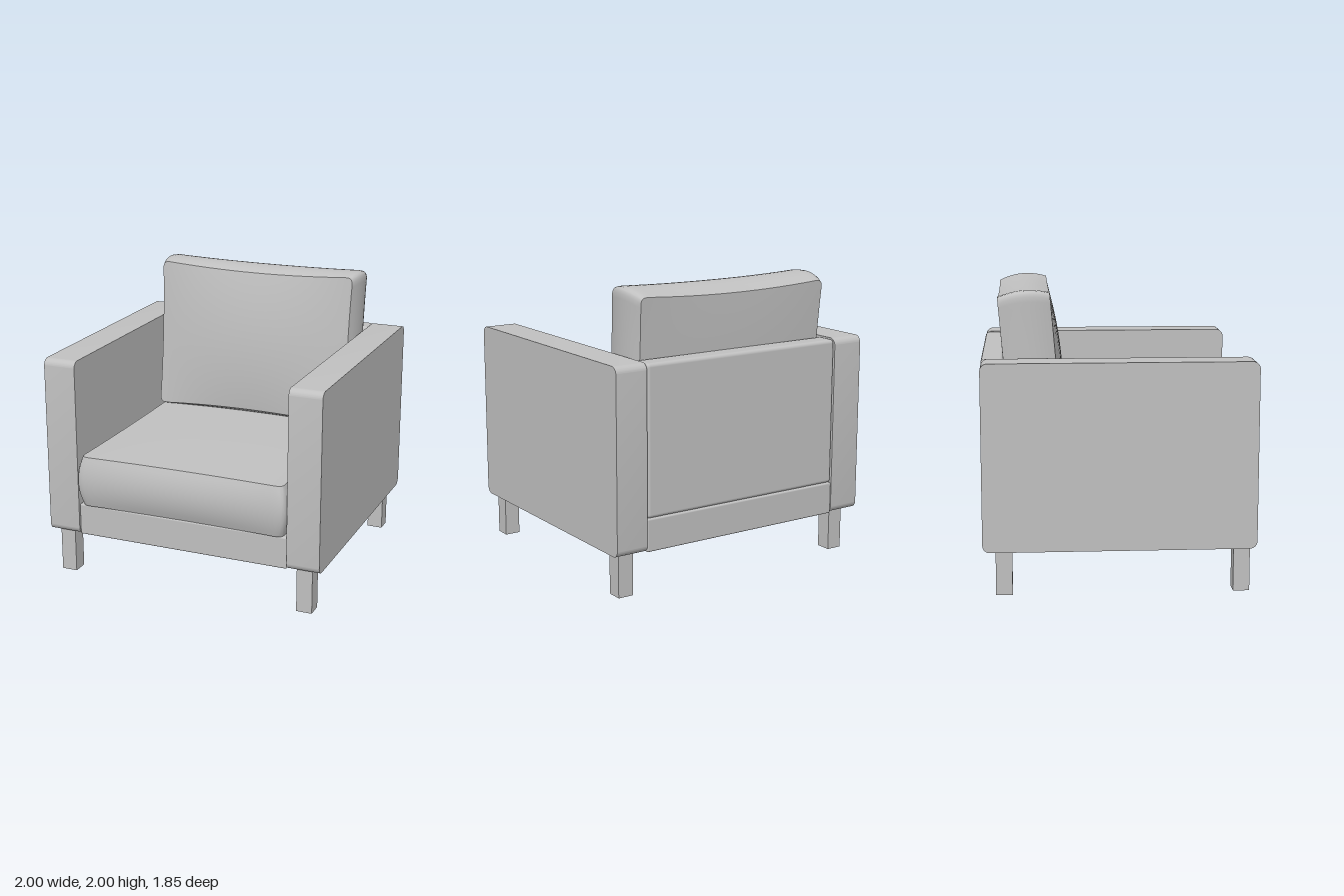
import * as THREE from 'three';
import { toCreasedNormals } from 'three/addons/utils/BufferGeometryUtils.js';
import { RoundedBoxGeometry } from 'three/addons/geometries/RoundedBoxGeometry.js';

const fabric = new THREE.MeshStandardMaterial({ color: 0xc0c0c0 });
fabric.name = 'light grey';

function part(name, geometry, x, y, z) {
  const mesh = new THREE.Mesh(geometry, fabric);
  mesh.name = name;
  mesh.position.set(x, y, z);
  return mesh;
}

// Stuffed cushion lying in XY with its thickness along Z: rounded corners,
// bulging side walls, pinched seams and crowned faces.
function cushionGeometry({ hx, hy, hz, radius, bulge, pinchX, pinchY, front, back }) {
  const geo = new THREE.BoxGeometry(2, 2, 2, 24, 24, 10);
  const pos = geo.attributes.position;
  const spread = (t) => Math.sin(t * Math.PI / 2);
  for (let i = 0; i < pos.count; i++) {
    const u = spread(pos.getX(i)), v = spread(pos.getY(i)), w = pos.getZ(i);
    let x = u * hx, y = v * hy;
    // round the outline corners
    const cx = THREE.MathUtils.clamp(x, radius - hx, hx - radius);
    const cy = THREE.MathUtils.clamp(y, radius - hy, hy - radius);
    const dx = x - cx, dy = y - cy, len = Math.hypot(dx, dy);
    if (len > 1e-6) {
      const k = Math.max(Math.abs(dx), Math.abs(dy)) / len;
      x = cx + dx * k;
      y = cy + dy * k;
    }
    // walls swell at mid thickness, seams draw in at mid length
    const pull = 0.4 + 0.6 * w * w;
    x *= 1 - (bulge * w * w + pinchX * pull * (1 - v * v)) / hx;
    y *= 1 - (bulge * w * w + pinchY * pull * (1 - u * u)) / hy;
    const crown = (w > 0 ? front : back) * (1 - u * u) * (1 - v * v);
    pos.setXYZ(i, x, y, w * hz + (Math.abs(w) > 0.999 ? Math.sign(w) * crown : 0));
  }
  return toCreasedNormals(geo, 0.65);
}

// Arm panel: rounded side profile with square outer edges
function armGeometry() {
  const z0 = -0.925, z1 = 0.89, y0 = 0.305, y1 = 1.555, r = 0.05;
  const s = new THREE.Shape();
  s.moveTo(z0 + r, y0);
  s.lineTo(z1 - r, y0);
  s.absarc(z1 - r, y0 + r, r, -Math.PI / 2, 0);
  s.absarc(z1 - r, y1 - r, r, 0, Math.PI / 2);
  s.absarc(z0 + r, y1 - r, r, Math.PI / 2, Math.PI);
  s.absarc(z0 + r, y0 + r, r, Math.PI, Math.PI * 1.5);
  const geo = new THREE.ExtrudeGeometry(s, { depth: 0.23, bevelEnabled: false, curveSegments: 8 });
  geo.rotateY(-Math.PI / 2);
  geo.translate(0.115, 0, 0);
  return toCreasedNormals(geo, 0.65);
}

export function createModel() {
  const model = new THREE.Group();
  model.name = 'armchair';

  // Arms and legs, mirrored
  const arm = armGeometry();
  const leg = new THREE.BoxGeometry(0.11, 0.31, 0.11);
  for (const side of [1, -1]) {
    const label = side > 0 ? 'left' : 'right';
    model.add(part(label + 'Arm', arm, side * 0.885, 0, 0));
    model.add(part(label + 'FrontLeg', leg, side * 0.885, 0.155, 0.795));
    model.add(part(label + 'BackLeg', leg, side * 0.885, 0.155, -0.785));
  }

  // Seat base and back panel
  model.add(part('seatBase', new RoundedBoxGeometry(1.54, 0.225, 1.805, 3, 0.012), 0, 0.4175, -0.0225));
  model.add(part('backPanel', new RoundedBoxGeometry(1.535, 1.02, 0.15, 4, 0.025), 0, 1.04, -0.85));

  // Cushions
  const seat = part('seatCushion', cushionGeometry({
    hx: 0.77, hy: 0.8375, hz: 0.178, radius: 0.05, bulge: 0.03,
    pinchX: 0.012, pinchY: 0.018, front: 0.012, back: 0,
  }), 0, 0.709, 0.0875);
  seat.rotation.x = -Math.PI / 2;
  model.add(seat);

  const backCushion = part('backCushion', cushionGeometry({
    hx: 0.77, hy: 0.572, hz: 0.1725, radius: 0.05, bulge: 0.03,
    pinchX: 0.012, pinchY: 0.03, front: 0.05, back: 0.015,
  }), 0, 1.43, -0.593);
  backCushion.rotation.x = -0.084;
  model.add(backCushion);

  return model;
}
